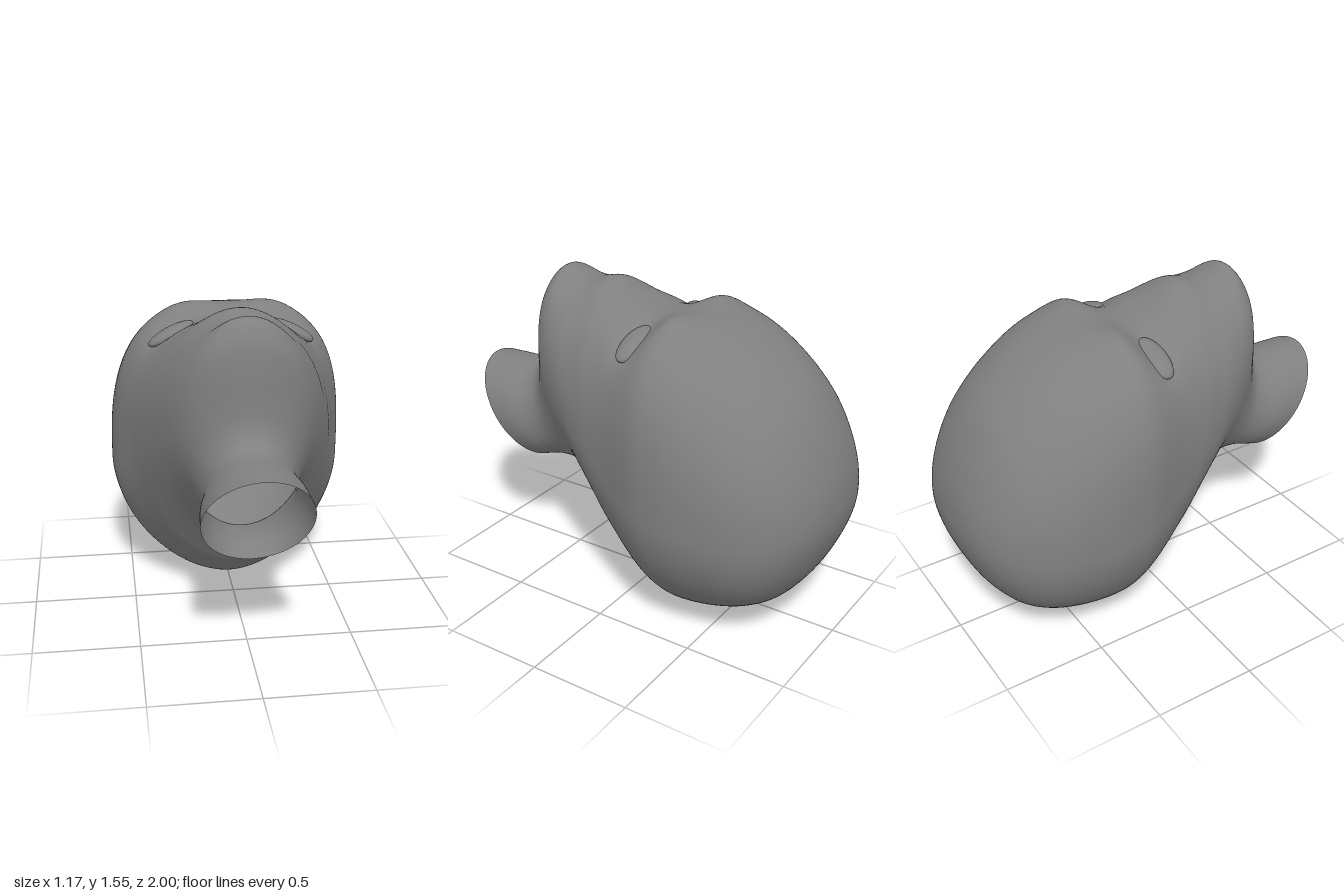
import * as THREE from 'three';

const RINGS = 144, SIDES = 128;
const curve = (pts) => new THREE.SplineCurve(pts.map(([a, b]) => new THREE.Vector2(a, b)));

// Profile lines as [z, y], from the neck opening to the crown
const topLine = curve([
  [1, 1], [0.85, 1.005], [0.73, 1.01], [0.66, 1.04], [0.62, 1.11], [0.605, 1.22], [0.595, 1.34],
  [0.57, 1.44], [0.5, 1.495], [0.4, 1.504], [0.3, 1.486], [0.2, 1.476], [0.1, 1.456], [0, 1.437],
  [-0.1, 1.435], [-0.2, 1.446], [-0.3, 1.446], [-0.42, 1.423], [-0.55, 1.37], [-0.68, 1.285],
  [-0.8, 1.175], [-0.89, 1.035], [-0.95, 0.9], [-0.985, 0.78], [-1, 0.65],
]);
const backLine = curve([
  [0.66, 0.5], [0.6, 0.52], [0.54, 0.535], [0.48, 0.54], [0.42, 0.54], [0.36, 0.53], [0.3, 0.5],
  [0.24, 0.455], [0.18, 0.4], [0.12, 0.33], [0.06, 0.25], [0.01, 0.18], [-0.05, 0.12], [-0.12, 0.06],
  [-0.2, 0.02], [-0.28, 0.003], [-0.35, 0.003], [-0.43, 0.018], [-0.54, 0.05], [-0.67, 0.106],
  [-0.785, 0.183], [-0.885, 0.305], [-0.952, 0.44], [-0.988, 0.555], [-1, 0.65],
]);
// Half width and squareness of the face side of each section
const widthLine = curve([
  [0.245, 2], [0.238, 2], [0.217, 2], [0.213, 2], [0.23, 2], [0.256, 1.98], [0.285, 1.98],
  [0.318, 2.05], [0.355, 2.12], [0.393, 2.15], [0.422, 2.2], [0.448, 2.32], [0.472, 2.5], [0.5, 2.8],
  [0.536, 3.05], [0.567, 3.15], [0.58, 2.95], [0.585, 2.68], [0.57, 2.43], [0.54, 2.24],
  [0.48, 2.12], [0.395, 2.05], [0.29, 2], [0.165, 2], [0, 2],
]);

// Soft swellings and hollows of the face: height, |x|, z, spread in x, spread in z
const features = [
  [0.06, 0, 0.51, 0.24, 0.08],      // chin
  [0.054, 0, 0.23, 0.2, 0.11],      // mouth and nose
  [0.028, 0.22, -0.22, 0.15, 0.09], // brow
  [-0.045, 0.28, -0.07, 0.13, 0.08], // eye socket
];
const { lerp, smoothstep } = THREE.MathUtils;
const relief = (x, y, z) => smoothstep(y, 1.1, 1.35) * features.reduce((sum, [h, fx, fz, sx, sz]) =>
  sum + h * Math.exp(-(((Math.abs(x) - fx) / sx) ** 2) - ((z - fz) / sz) ** 2), 0);

// Loft of tilted superellipse sections, open at the neck
function headGeometry() {
  const pos = [], index = [];
  for (let i = 0; i <= RINGS; i++) {
    const t = i / RINGS;
    const top = topLine.getPoint(t), back = backLine.getPoint(t), { x: w, y: nTop } = widthLine.getPoint(t);
    const f = lerp(0.5, 0.43, smoothstep(t, 0.4, 0.7)); // height of the widest point
    const nBack = 2 - 0.13 * smoothstep(t, 0.15, 0.4) + 0.25 * smoothstep(t, 0.68, 0.85);
    for (let j = 0; j < SIDES; j++) {
      const a = (j / SIDES) * Math.PI * 2;
      const s = Math.sin(a), c = Math.cos(a), n = c > 0 ? nTop : nBack;
      const r = Math.pow(Math.abs(s) ** n + Math.abs(c) ** n, -1 / n);
      const v = r * c, k = v > 0 ? f + (1 - f) * v : f + f * v;
      const x = w * r * s, y = lerp(back.y, top.y, k), z = lerp(back.x, top.x, k);
      pos.push(x, y + relief(x, y, z), z);
      if (i < RINGS) {
        const p = i * SIDES + j, q = i * SIDES + (j + 1) % SIDES;
        index.push(p, q, q + SIDES, p, q + SIDES, p + SIDES);
      }
    }
  }
  const geo = new THREE.BufferGeometry();
  geo.setAttribute('position', new THREE.Float32BufferAttribute(pos, 3));
  geo.setIndex(index);
  geo.computeVertexNormals();
  // All corners of the last ring meet at the crown and share one normal
  for (let j = 0; j < SIDES; j++) geo.attributes.normal.setXYZ(RINGS * SIDES + j, 0, 0, -1);
  return geo;
}

export function createModel() {
  const model = new THREE.Group();
  model.name = 'mannequinHead';
  const material = new THREE.MeshStandardMaterial({ color: 0x808080, side: THREE.DoubleSide });

  const head = new THREE.Mesh(headGeometry(), material);
  head.name = 'headAndNeck';
  model.add(head);

  // Flattened eyes set into the sockets
  const eyeGeo = new THREE.SphereGeometry(1, 32, 20);
  for (const side of [1, -1]) {
    const eye = new THREE.Mesh(eyeGeo, material);
    eye.name = side > 0 ? 'leftEye' : 'rightEye';
    eye.scale.set(0.12, 0.032, 0.06);
    eye.position.set(side * 0.29, 1.347, -0.07);
    eye.rotation.set(0, -side * 0.06, -side * 0.45);
    model.add(eye);
  }
  return model;
}
